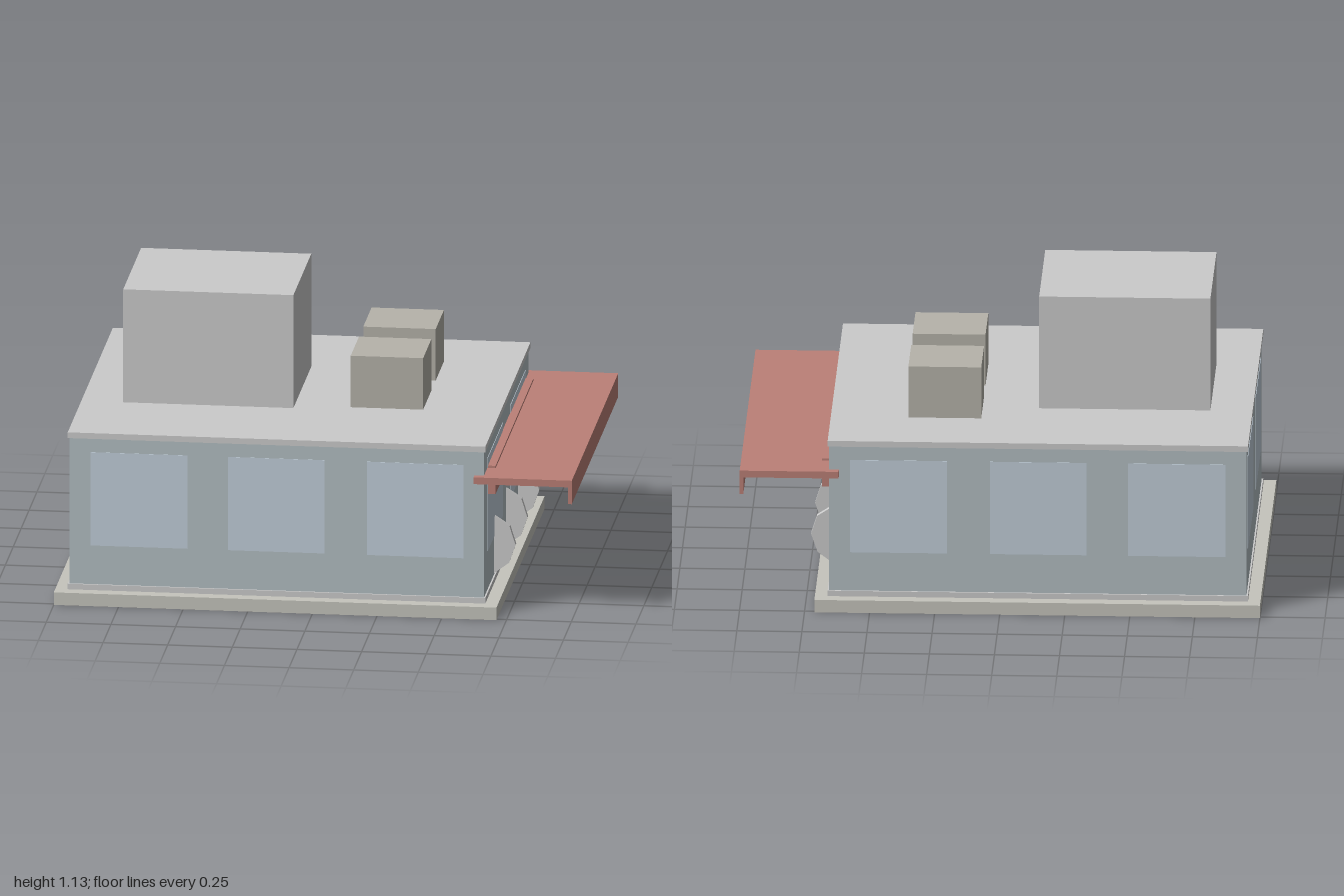
import * as THREE from 'three';

const paint = (color) => new THREE.MeshStandardMaterial({ color });

export function createModel() {
  const building = new THREE.Group();
  building.name = 'building';

  const grey = paint(0xcccccc);
  const concrete = paint(0xc6c5bd);
  const wall = paint(0xb3bfc3);
  const glass = paint(0xc2cfda);
  const red = paint(0xbc8077);
  const metal = paint(0xb6b3aa);

  // Box given by its limits on each axis
  function block(name, material, [x0, x1], [y0, y1], [z0, z1], parent = building) {
    const mesh = new THREE.Mesh(new THREE.BoxGeometry(x1 - x0, y1 - y0, z1 - z0), material);
    mesh.position.set((x0 + x1) / 2, (y0 + y1) / 2, (z0 + z1) / 2);
    mesh.name = name;
    parent.add(mesh);
    return mesh;
  }

  // Main body
  block('plinth', concrete, [-1, 0.712], [0, 0.05], [-0.763, 0.763]);
  block('skirting', grey, [-0.952, 0.663], [0.05, 0.072], [-0.714, 0.714]);
  block('walls', wall, [-0.946, 0.657], [0.072, 0.655], [-0.707, 0.707]);
  block('roofSlab', grey, [-0.952, 0.663], [0.655, 0.678], [-0.714, 0.714]);

  // Window panes, almost flush with the walls
  const windows = new THREE.Group();
  windows.name = 'windows';
  building.add(windows);
  const sill = [0.227, 0.6];
  const t = 0.002;
  for (const [x0, x1] of [[-0.865, -0.49], [-0.332, 0.04], [0.205, 0.578]]) {
    block('frontWindow', glass, [x0, x1], sill, [0.707 - t, 0.707 + t], windows);
    block('backWindow', glass, [x0, x1], sill, [-0.707 - t, -0.707 + t], windows);
  }
  for (const z of [[0.118, 0.6], [-0.6, -0.118]]) {
    block('entranceSideWindow', glass, [0.657 - t, 0.657 + t], sill, z, windows);
    block('rearSideWindow', glass, [-0.946 - t, -0.946 + t], sill, z, windows);
  }

  // Rooftop volumes
  block('roofRoom', grey, [-0.79, -0.132], [0.678, 1.13], [-0.284, 0.283]);
  for (const z of [-0.285, 0.113]) {
    block('roofUnit', metal, [0.085, 0.365], [0.678, 0.884], [z - 0.131, z + 0.131]);
  }

  // Canopy with hanging lip and wall rail
  const canopy = new THREE.Group();
  canopy.name = 'canopy';
  building.add(canopy);
  block('canopyDeck', red, [0.62, 1], [0.533, 0.56], [-0.735, 0.735], canopy);
  block('canopyLip', red, [0.986, 1], [0.466, 0.533], [-0.735, 0.735], canopy);
  block('canopyRail', red, [0.657, 0.689], [0.456, 0.569], [-0.6, 0.6], canopy);

  // Thin rounded fins on the entrance wall
  const outline = [[0.655, 0.075], [0.715, 0.12], [0.74, 0.192], [0.717, 0.265], [0.655, 0.305]];
  const profile = new THREE.Shape(outline.map(([x, y]) => new THREE.Vector2(x, y)));
  const finGeometry = new THREE.ExtrudeGeometry(profile, { depth: 0.024, bevelEnabled: false });
  finGeometry.translate(0, 0, -0.012);
  for (const z of [-0.376, 0, 0.376]) {
    const fin = new THREE.Mesh(finGeometry, grey);
    fin.position.z = z;
    fin.name = 'wallFin';
    building.add(fin);
  }

  return building;
}
